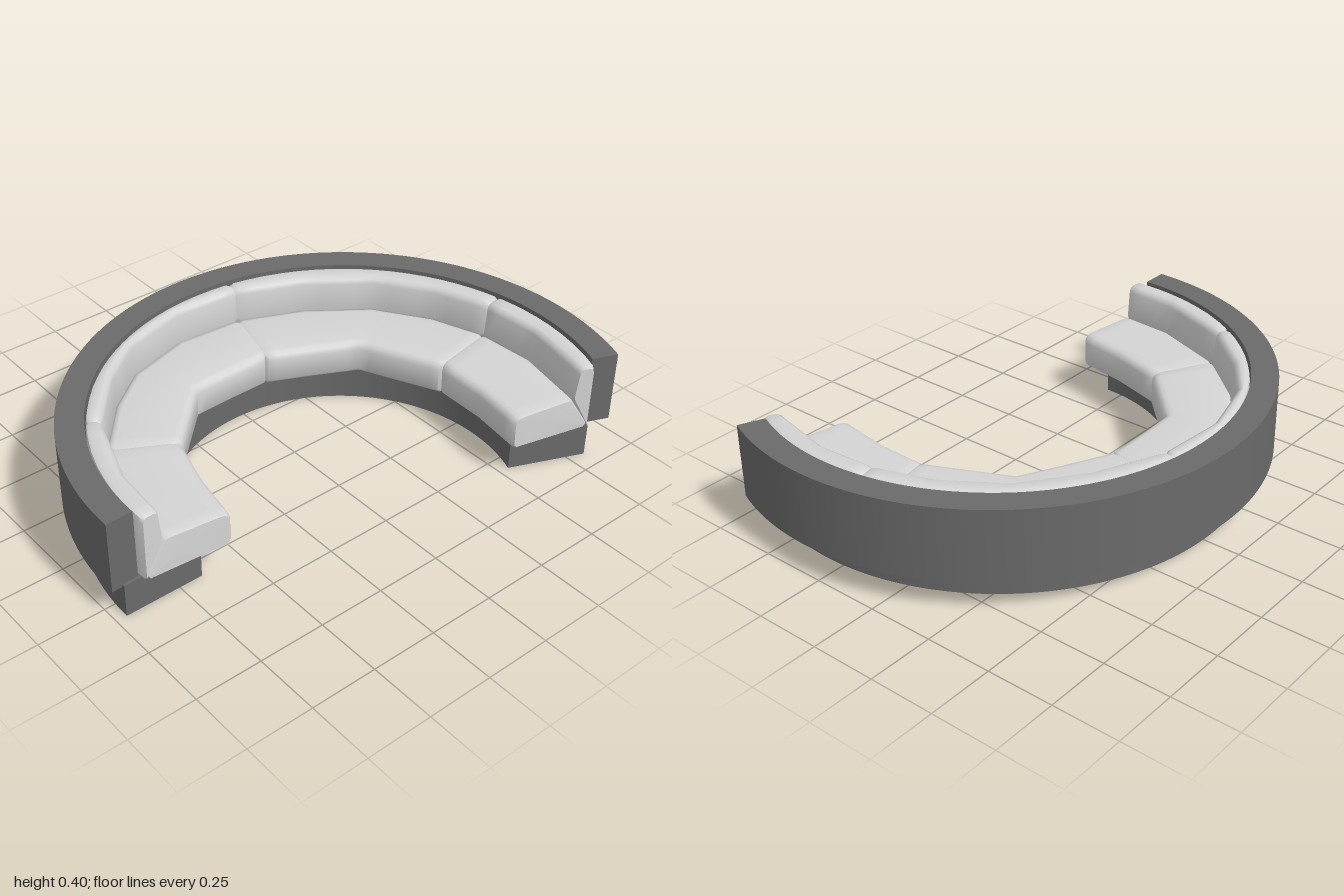
import * as THREE from 'three';
import { toCreasedNormals } from 'three/addons/utils/BufferGeometryUtils.js';

const CENTRE_Z = 0.3;
const CUSHION_R = 0.897;

// Curved wall: a ring sector in plan, extruded upward
function ringSector(outer, inner, startDeg, endDeg, height) {
  const a = THREE.MathUtils.degToRad(startDeg);
  const b = THREE.MathUtils.degToRad(endDeg);
  const shape = new THREE.Shape();
  shape.absarc(0, 0, outer, a, b, false);
  shape.absarc(0, 0, inner, b, a, true);
  const geo = new THREE.ExtrudeGeometry(shape, { depth: height, bevelEnabled: false, curveSegments: 64 });
  geo.rotateX(-Math.PI / 2);
  return toCreasedNormals(geo, 0.5);
}

// Cross-sections: [anchor, outward offset, height]; I = seat front, B = backrest foot, O = outer wall
const seatProfile = [
  ['I', 0.014, 0.132], ['I', 0.002, 0.145], ['I', 0, 0.235], ['I', 0.006, 0.252], ['I', 0.018, 0.262],
  ['I', 0.035, 0.265], ['B', -0.02, 0.265], ['B', -0.006, 0.262], ['B', 0.002, 0.252], ['O', -0.004, 0.145], ['O', -0.012, 0.132],
];
const backProfile = [
  ['O', -0.003, 0.135], ['B', 0.004, 0.25], ['B', 0, 0.265], ['B', 0.009, 0.37], ['B', 0.014, 0.386],
  ['B', 0.028, 0.395], ['O', -0.018, 0.395], ['O', -0.004, 0.388], ['O', 0, 0.372],
];

// Plan of each upholstered section: [seat front x, z, backrest foot x, z]
const sections = [
  [[-0.57, 0.375, -0.818, 0.345], [-0.535, 0.18, -0.802, 0.135], [-0.476, -0.027, -0.70, -0.15]],
  [[-0.476, -0.027, -0.70, -0.15], [-0.36, -0.14, -0.53, -0.345], [-0.246, -0.251, -0.37, -0.465],
    [-0.09, -0.255, -0.12, -0.535], [0.075, -0.256, 0.14, -0.515]],
  [[0.075, -0.256, 0.14, -0.515], [0.235, -0.18, 0.38, -0.41], [0.396, -0.10, 0.594, -0.25],
    [0.465, 0.05, 0.727, -0.05], [0.535, 0.20, 0.797, 0.155]],
  [[0.535, 0.20, 0.797, 0.155], [0.53, 0.40, 0.81, 0.38], [0.497, 0.608, 0.748, 0.655]],
];

// Subdivide a section plan, with an extra station near each end for the rounded edge
function stationsOf(plan) {
  const out = [];
  const steps = 4;
  const last = plan.length - 2;
  for (let s = 0; s <= last; s++) {
    const ts = [];
    for (let k = 0; k < steps; k++) ts.push(k / steps);
    if (s === 0) ts.splice(1, 0, 0.06);
    if (s === last) ts.push(0.94, 1);
    for (const t of ts) out.push(plan[s].map((v, i) => v + (plan[s + 1][i] - v) * t));
  }
  return out;
}

// Points of one cross-section placed at a station
function ringAt([ix, iz, bx, bz], profile, inset) {
  const I = new THREE.Vector3(ix, 0, iz);
  const B = new THREE.Vector3(bx, 0, bz);
  const C = new THREE.Vector3(0, 0, CENTRE_Z);
  const radial = B.clone().sub(C).normalize();
  const O = C.clone().addScaledVector(radial, CUSHION_R);
  const seatDir = B.clone().sub(I).normalize();
  const anchors = { I, B, O };
  const pts = profile.map(([key, offset, y]) => {
    const dir = key === 'O' || (key === 'B' && offset > 0) ? radial : seatDir;
    const p = anchors[key].clone().addScaledVector(dir, offset);
    p.y = y;
    return p;
  });
  const middle = new THREE.Vector3();
  pts.forEach((p) => middle.addScaledVector(p, 1 / pts.length));
  if (inset) pts.forEach((p) => p.addScaledVector(middle.clone().sub(p).normalize(), inset));
  return { pts, middle };
}

// Loft the cross-section through the stations and cap both ends
function cushion(plan, profile) {
  const stations = stationsOf(plan);
  const rings = stations.map((s, i) =>
    ringAt(s, profile, i === 0 || i === stations.length - 1 ? 0.008 : 0));
  const n = profile.length;
  const pos = [];
  const tri = (...vs) => vs.forEach((v) => pos.push(v.x, v.y, v.z));
  const first = rings[0];
  const end = rings[rings.length - 1];
  for (let j = 0; j < n; j++) {
    const k = (j + 1) % n;
    for (let i = 0; i < rings.length - 1; i++) {
      const a = rings[i].pts, b = rings[i + 1].pts;
      tri(a[j], b[j], b[k]);
      tri(a[j], b[k], a[k]);
    }
    tri(first.pts[j], first.pts[k], first.middle);
    tri(end.pts[k], end.pts[j], end.middle);
  }
  const geo = new THREE.BufferGeometry();
  geo.setAttribute('position', new THREE.Float32BufferAttribute(pos, 3));
  return toCreasedNormals(geo, 0.85);
}

export function createModel() {
  const model = new THREE.Group();
  model.name = 'curvedSofa';

  const frameGrey = new THREE.MeshStandardMaterial({ color: 0x6a6a6a });
  frameGrey.name = 'frameGrey';
  const upholstery = new THREE.MeshStandardMaterial({ color: 0xd4d4d4 });
  upholstery.name = 'lightUpholstery';

  const add = (name, geo, material, parent = model) => {
    const mesh = new THREE.Mesh(geo, material);
    mesh.name = name;
    parent.add(mesh);
    return mesh;
  };

  // Outer shell and recessed plinth
  add('backShell', ringSector(1, 0.9, -22.9, 180.6, 0.28), frameGrey).position.set(0, 0.12, CENTRE_Z);
  add('plinth', ringSector(0.925, 0.625, -22.9, 180, 0.13), frameGrey).position.set(-0.035, 0, 0.32);

  // Four upholstered sections, each a seat and a backrest
  sections.forEach((plan, i) => {
    const group = new THREE.Group();
    group.name = `cushionSection${i + 1}`;
    add('seat', cushion(plan, seatProfile), upholstery, group);
    add('backrest', cushion(plan, backProfile), upholstery, group);
    model.add(group);
  });

  return model;
}
